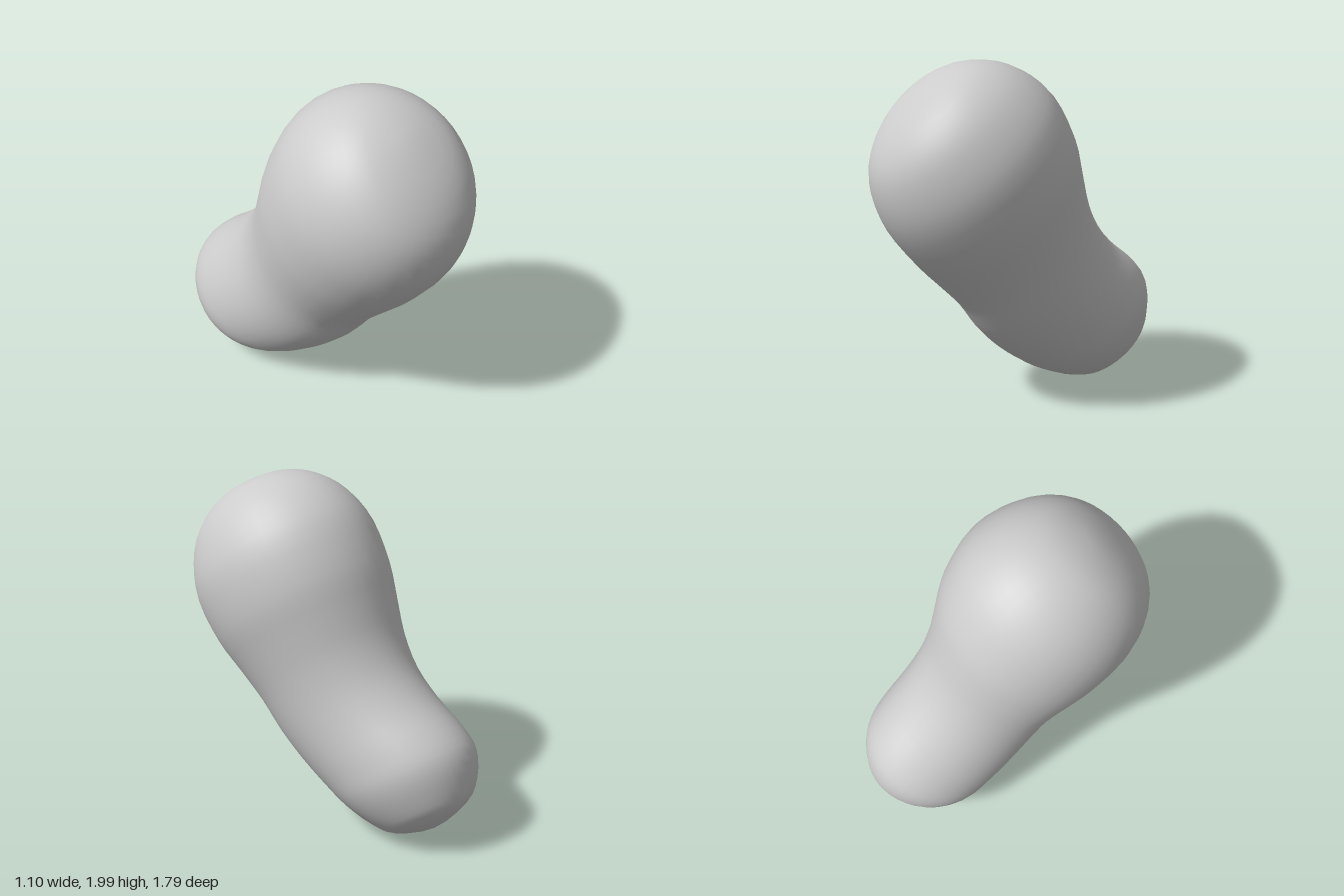
import * as THREE from 'three';
import { mergeVertices } from 'three/addons/utils/BufferGeometryUtils.js';

// Cross-sections along the slanted axis, top to bottom:
// [distance, rear, front, right, left] extents of each oval
const SECTIONS = [
  [-1.14, -0.13, -0.13, 0.03, 0.03],
  [-1.10, -0.34, 0.14, -0.21, 0.27],
  [-1.00, -0.49, 0.34, -0.35, 0.41],
  [-0.85, -0.595, 0.455, -0.45, 0.50],
  [-0.65, -0.645, 0.515, -0.505, 0.55],
  [-0.40, -0.613, 0.52, -0.51, 0.525],
  [-0.20, -0.54, 0.50, -0.49, 0.46],
  [0.00, -0.465, 0.482, -0.47, 0.395],
  [0.20, -0.43, 0.492, -0.475, 0.345],
  [0.40, -0.445, 0.47, -0.505, 0.30],
  [0.60, -0.492, 0.42, -0.54, 0.255],
  [0.75, -0.495, 0.36, -0.55, 0.215],
  [0.90, -0.42, 0.275, -0.49, 0.13],
  [1.00, -0.315, 0.17, -0.38, 0.03],
  [1.06, -0.06, -0.06, -0.18, -0.18],
];

// Smooth curve of (distance, centre, radius); a mirrored section past each
// pole keeps the ends round
function profile(lo, hi) {
  const pts = SECTIONS.map(r => new THREE.Vector3(r[0], (r[lo] + r[hi]) / 2, (r[hi] - r[lo]) / 2));
  const ghost = (pole, p) => new THREE.Vector3(p.x, 2 * pole.y - p.y, -p.z);
  const n = pts.length;
  const all = [ghost(pts[0], pts[1]), ...pts, ghost(pts[n - 1], pts[n - 2])];
  return new THREE.CatmullRomCurve3(all, false, 'catmullrom', 0.5);
}

function createBodyGeometry(stepsPerSection = 3, sides = 40) {
  const depth = profile(1, 2), width = profile(3, 4);
  const axis = new THREE.Vector3(0, -0.78, -0.62).normalize();
  const across = new THREE.Vector3(0, -0.62, 0.78).normalize();
  const rings = (SECTIONS.length - 1) * stepsPerSection;
  const positions = [], index = [];

  for (let i = 0; i <= rings; i++) {
    const u = (1 + i / stepsPerSection) / (SECTIONS.length + 1);
    const d = depth.getPoint(u), w = width.getPoint(u);
    for (let j = 0; j < sides; j++) {
      const a = (j / sides) * Math.PI * 2;
      const p = new THREE.Vector3(w.y + w.z * Math.cos(a), 0.9, 0)
        .addScaledVector(axis, d.x)
        .addScaledVector(across, d.y + d.z * Math.sin(a));
      positions.push(p.x, p.y, p.z);
      if (i < rings) {
        const k = (j + 1) % sides, r = i * sides, q = r + sides;
        if (i > 0) index.push(r + j, r + k, q + j);
        if (i < rings - 1) index.push(r + k, q + k, q + j);
        else index.push(r + k, q + j, r + j);
      }
    }
  }
  // The last ring is a pole, so one triangle per side closes it
  const last = (rings - 1) * sides;
  const body = index.slice(0, index.length - sides * 6);
  for (let j = 0; j < sides; j++) body.push(last + j, last + (j + 1) % sides, last + sides);

  let geometry = new THREE.BufferGeometry();
  geometry.setAttribute('position', new THREE.Float32BufferAttribute(positions, 3));
  geometry.setIndex(body);
  geometry = mergeVertices(geometry, 1e-4);
  geometry.computeBoundingBox();
  geometry.translate(0, -geometry.boundingBox.min.y, 0);
  geometry.computeVertexNormals();
  return geometry;
}

export function createModel() {
  const group = new THREE.Group();
  group.name = 'bean';
  const body = new THREE.Mesh(createBodyGeometry(), new THREE.MeshStandardMaterial({ color: 0xcccccc }));
  body.name = 'beanBody';
  group.add(body);
  return group;
}
